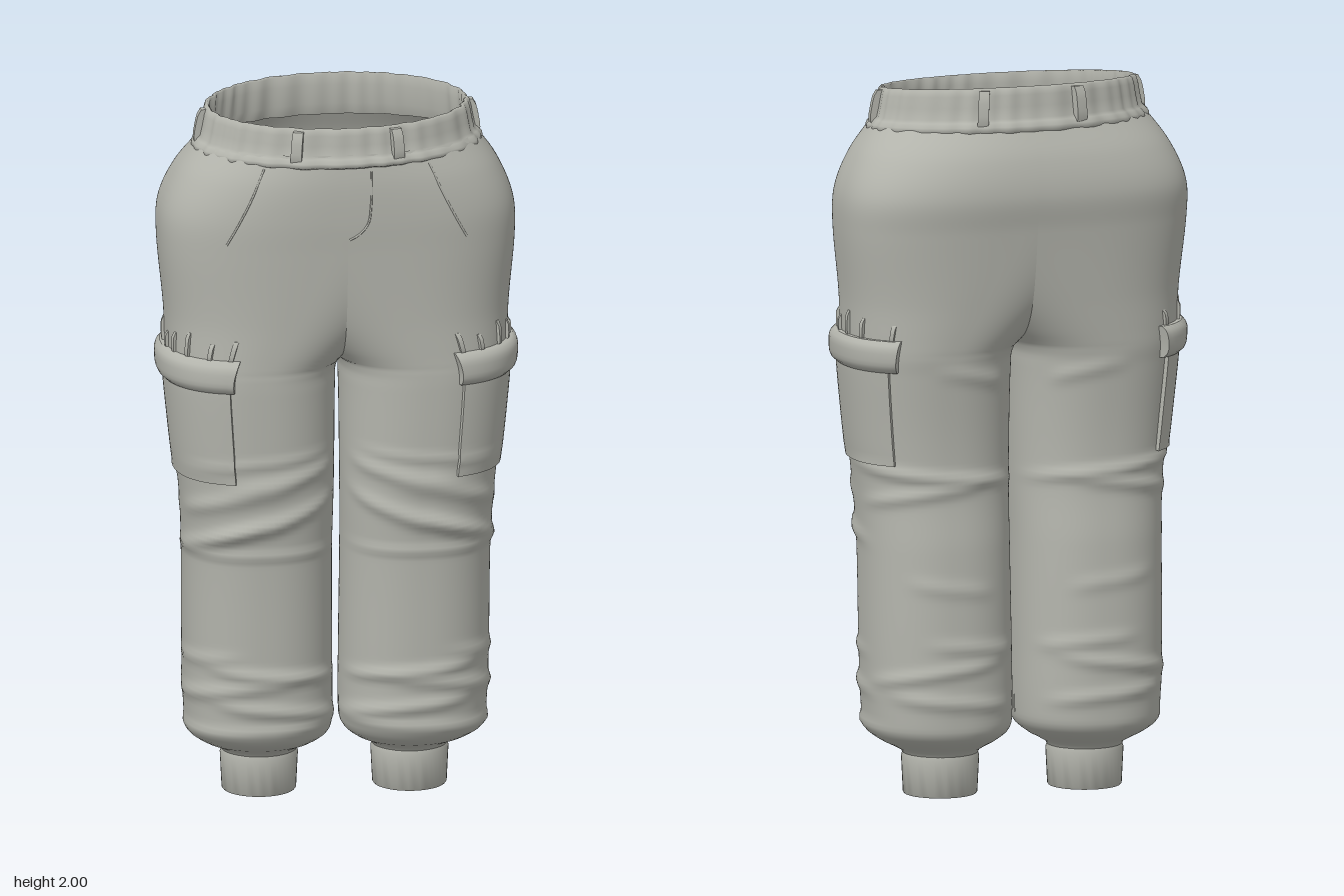
import * as THREE from 'three';
import { mergeVertices, toCreasedNormals } from 'three/addons/utils/BufferGeometryUtils.js';

const fabric = new THREE.MeshStandardMaterial({ color: 0xb3b4ac, side: THREE.DoubleSide });
fabric.name = 'grey fabric';

// Half-body sections: y, inner x, outer x, back z, front z, squareness.
// A negative inner x means the two halves run together there.
const sections = [
  [0.10, 0.11, 0.31, -0.12, 0.08, 2],
  [0.125, 0.10, 0.32, -0.13, 0.09, 2],
  [0.15, 0.055, 0.37, -0.17, 0.145, 2.1],
  [0.18, 0.02, 0.41, -0.205, 0.19, 2.2],
  [0.22, 0.012, 0.418, -0.212, 0.2, 2.3],
  [0.4, 0.012, 0.425, -0.212, 0.207, 2.3],
  [0.7, 0.014, 0.428, -0.2, 0.217, 2.3],
  [0.85, 0.012, 0.435, -0.185, 0.23, 2.3],
  [1.0, 0.01, 0.45, -0.185, 0.237, 2.3],
  [1.2, 0.007, 0.47, -0.2, 0.243, 2.3],
  [1.25, 0, 0.473, -0.207, 0.243, 2.3],
  [1.3, -0.05, 0.475, -0.212, 0.243, 2.35],
  [1.4, -0.16, 0.478, -0.222, 0.245, 2.45],
  [1.6, -0.36, 0.495, -0.245, 0.254, 2.75],
  [1.7, -0.46, 0.49, -0.26, 0.26, 2.8],
  [1.8, -0.45, 0.45, -0.245, 0.26, 2.5],
  [1.89, -0.388, 0.388, -0.208, 0.25, 2.05],
];

// Smooth interpolation of the section table
function section(y) {
  let i = 0;
  while (i < sections.length - 2 && y > sections[i + 1][0]) i++;
  const a = sections[i], b = sections[i + 1], h = b[0] - a[0];
  const t = Math.min(1, Math.max(0, (y - a[0]) / h));
  const slope = (j, k) => {
    const p = sections[Math.max(j - 1, 0)], q = sections[Math.min(j + 1, sections.length - 1)];
    return (q[k] - p[k]) / (q[0] - p[0]);
  };
  const v = [1, 2, 3, 4, 5].map((k) =>
    (1 + 2 * t) * (1 - t) ** 2 * a[k] + t * (1 - t) ** 2 * h * slope(i, k) +
    t * t * (3 - 2 * t) * b[k] + t * t * (t - 1) * h * slope(i + 1, k));
  return { cx: (v[0] + v[1]) / 2, rx: (v[1] - v[0]) / 2, cz: (v[2] + v[3]) / 2, rz: (v[3] - v[2]) / 2, n: v[4] };
}

// Cloth folds: y, angle, angular spread, slope, height, thickness (angle 0 = outside, PI/2 = front)
const folds = [
  [0.215, 1.4, 1.6, 0.01, 0.009, 0.016],
  [0.27, 1.9, 0.9, -0.025, 0.012, 0.018],
  [0.33, 0.9, 1.0, 0.03, 0.011, 0.018],
  [0.375, 1.8, 0.9, -0.02, 0.012, 0.016],
  [0.42, 0.6, 0.6, 0.02, 0.007, 0.016],
  [0.28, -1.5, 0.8, 0.02, 0.01, 0.018],
  [0.36, -1.2, 0.9, -0.03, 0.01, 0.018],
  [0.43, -1.9, 0.6, 0.02, 0.008, 0.018],
  [0.73, 1.4, 1.2, 0.0, 0.007, 0.011],
  [0.775, 0.9, 0.9, 0.05, 0.012, 0.02],
  [0.83, 1.7, 0.9, 0.06, 0.013, 0.02],
  [0.89, 1.1, 0.8, 0.05, 0.011, 0.022],
  [0.95, 1.9, 0.7, 0.04, 0.011, 0.02],
  [1.0, 1.5, 0.9, 0.02, 0.006, 0.012],
  [0.91, -1.4, 1.2, 0.02, 0.012, 0.015],
  [0.86, -1.1, 0.8, -0.03, 0.01, 0.018],
  [0.6, -1.5, 0.5, 0.03, 0.006, 0.02],
  [1.19, -1.9, 0.4, 0.05, 0.007, 0.02],
];
const fold = (y, a) => folds.reduce((sum, [fy, fa, w, k, h, t]) => {
  const d = a - fa;
  const across = ((y - fy - k * d) / t) ** 2, along = (d / w) ** 4;
  return sum + h * Math.exp(-(across + along));
}, 0);

const power = (v, p) => Math.sign(v) * Math.pow(Math.abs(v), p);

// Point on the trouser surface, pushed outward by off
function bodyPoint(y, a, off = 0) {
  const s = section(y), d = off + fold(y, a);
  const x = s.cx + s.rx * power(Math.cos(a), 2 / s.n) + d * Math.cos(a);
  const z = s.cz + s.rz * power(Math.sin(a), 2 / s.n) + d * Math.sin(a);
  return [y < 1.24 ? Math.max(x, 0.002) : x, y, z];
}

// Point on the sloping waistband
function bandPoint(y, a, off = 0) {
  const t = (y - 1.87) / 0.11;
  const z = 0.024 + (0.226 - 0.008 * t + off) * Math.sin(a);
  const tilt = 0.05 + 0.04 * t;
  return [(0.386 - 0.02 * t + off) * Math.cos(a), y - (z - 0.02) * tilt, z];
}

// Grid surface from point(i, j); side -1 mirrors it
function grid(nu, nv, point, side = 1) {
  const pos = [], index = [], w = nu + 1;
  for (let j = 0; j <= nv; j++) for (let i = 0; i <= nu; i++) {
    const [x, y, z] = point(i, j);
    pos.push(x * side, y, z);
    if (i < nu && j < nv) {
      const p = j * w + i;
      if (side > 0) index.push(p, p + w, p + 1, p + 1, p + w, p + w + 1);
      else index.push(p, p + 1, p + w, p + 1, p + w + 1, p + w);
    }
  }
  const g = new THREE.BufferGeometry();
  g.setAttribute('position', new THREE.Float32BufferAttribute(pos, 3));
  g.setIndex(index);
  return g;
}

function smooth(g) {
  const m = mergeVertices(g, 1e-5);
  m.computeVertexNormals();
  return m;
}

// Raised cloth panel following a surface; puff rounds its top and bottom
function panel(surface, y0, y1, a0, a1, thick, puff, side, nu, nv) {
  const clamp = (i, n) => Math.min(1, Math.max(0, (i - 1) / (n - 2)));
  return toCreasedNormals(grid(nu, nv, (i, j) => {
    const t = clamp(j, nv), edge = i === 0 || j === 0 || i === nu || j === nv;
    const off = edge ? -0.006 : thick * (1 - puff * (2 * t - 1) ** 4);
    return surface(y0 + (y1 - y0) * t, a0 + (a1 - a0) * clamp(i, nu), off);
  }, side), 0.8);
}

export function createModel() {
  const model = new THREE.Group();
  model.name = 'cargoTrousers';
  const add = (name, geometry) => {
    const mesh = new THREE.Mesh(geometry, fabric);
    mesh.name = name;
    model.add(mesh);
    return mesh;
  };

  // Stitched line on the front, from x, y points
  const seam = (name, points, side) => {
    const path = points.map(([x, y]) => {
      const s = section(y);
      const a = Math.acos(power((x - s.cx) / s.rx, s.n / 2));
      const p = bodyPoint(y, a);
      return new THREE.Vector3(p[0] * side, p[1], p[2]);
    });
    add(name, new THREE.TubeGeometry(new THREE.CatmullRomCurve3(path), 24, 0.003, 6));
  };

  for (const side of [1, -1]) {
    const tag = side > 0 ? 'left' : 'right';

    // Leg and hip: closed loops below the crotch, open arcs to the centre line above
    add(tag + 'Leg', smooth(grid(112, 142, (i, j) => {
      const y = 0.1125 + j * 0.0125, s = section(y);
      const open = s.cx < s.rx - 1e-6;
      const limit = open ? Math.acos(-Math.pow(Math.max(s.cx, 0) / s.rx, s.n / 2)) : Math.PI;
      const p = bodyPoint(y, (i / 56 - 1) * limit);
      if (y > 1.245 && (i === 0 || i === 112)) p[0] = 0;
      return p;
    }, side)));

    // Ankle cuff
    const cuff = [[0.091, 0.12], [0.091, 0], [0.1, 0], [0.103, 0.004], [0.108, 0.105], [0.104, 0.118], [0.091, 0.12]];
    const cuffGeometry = new THREE.LatheGeometry(cuff.map(([r, y]) => new THREE.Vector2(r, y)), 40);
    add(tag + 'Cuff', toCreasedNormals(cuffGeometry, 0.7)).position.set(0.21 * side, 0, -0.02);

    // Thigh pocket, its flap and the gathers above
    add(tag + 'Pocket', panel(bodyPoint, 0.945, 1.26, -0.85, 1.25, 0.012, 0.2, side, 30, 22));
    add(tag + 'PocketFlap', panel(bodyPoint, 1.212, 1.302, -0.97, 1.3, 0.03, 0.55, side, 32, 10));
    [-0.85, -0.4, -0.1, 0.12, 0.35, 0.62, 0.95, 1.2].forEach((a, k) => {
      add(tag + 'PocketGather', panel(bodyPoint, 1.29, 1.345 + 0.012 * (k % 3), a - 0.025, a + 0.025, 0.009, 0.9, side, 4, 7));
    });

    // Slanted hip pocket opening
    seam(tag + 'HipPocketSeam', [[0.23, 1.85], [0.265, 1.77], [0.3, 1.7], [0.335, 1.635]], side);

    // Belt loops
    for (const a of [1.2, 0.02, -1.2]) {
      add(tag + 'BeltLoop', panel(bandPoint, 1.877, 1.974, a - 0.04, a + 0.04, 0.02, 0.4, side, 6, 8));
    }
  }

  // Fly stitching
  seam('flySeam', [[0.065, 1.84], [0.063, 1.74], [0.055, 1.69], [0.03, 1.66], [0.004, 1.645]], 1);

  // Gathered waistband: bead, outer wall, rim and inner wall
  const profile = [[-0.006, 1.868], [0.008, 1.862], [0.017, 1.868], [0.018, 1.88], [0.01, 1.892], [0.003, 1.9],
    [0.002, 1.93], [0.002, 1.96], [0.0, 1.975], [-0.006, 1.981], [-0.013, 1.977], [-0.016, 1.95], [-0.02, 1.9], [-0.012, 1.868]];
  add('waistband', smooth(grid(240, profile.length - 1, (i, j) => {
    const a = (i % 240) / 240 * Math.PI * 2;
    const gather = 0.0022 * Math.sin(34 * a + 2 * Math.sin(5 * a)) + 0.0015 * Math.sin(21 * a);
    return bandPoint(profile[j][1], a, profile[j][0] + gather);
  })));

  return model;
}
